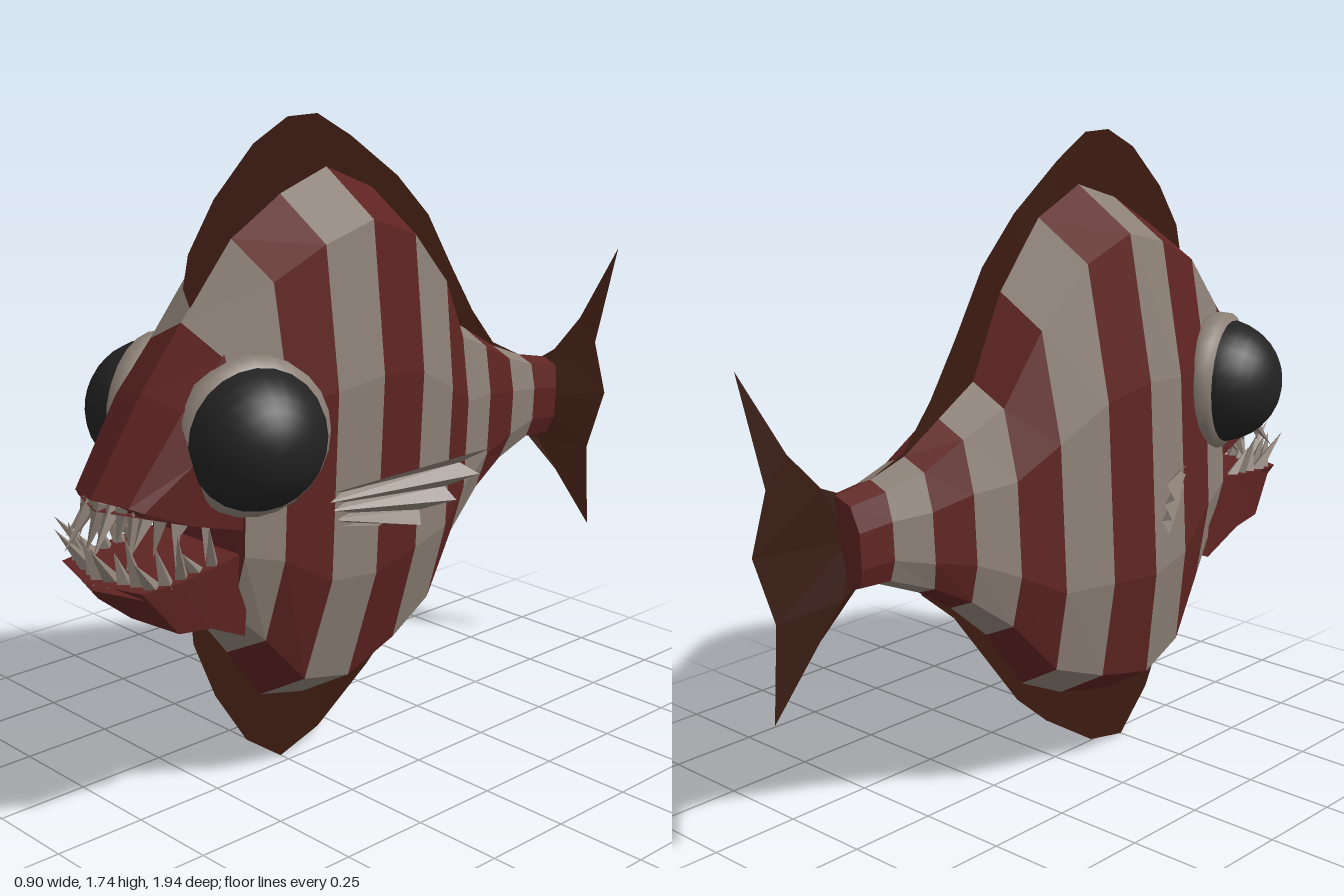
import * as THREE from 'three';

const mat = (color, extra = {}) =>
  new THREE.MeshStandardMaterial({ color, flatShading: true, side: THREE.DoubleSide, ...extra });
const RED = mat(0x5e2422), GREY = mat(0x8c8076), FIN = mat(0x3a1a10);
const EYE = mat(0x222222, { flatShading: false });

// Swimming curve of the spine: [z, x]
const SPINE = [[-1, 0.07], [-0.9, 0.02], [-0.8, -0.025], [-0.6, -0.055], [-0.4, -0.05], [-0.2, -0.025],
  [0, -0.01], [0.2, 0.01], [0.4, 0.035], [0.6, 0.055], [1, 0.07]];

// Offsets a straight point by the spine curve and a slight roll
function bend(x, y, z) {
  let i = 0;
  while (i < SPINE.length - 2 && z > SPINE[i + 1][0]) i++;
  const [z0, x0] = SPINE[i], [z1, x1] = SPINE[i + 1];
  const t = THREE.MathUtils.clamp((z - z0) / (z1 - z0), 0, 1);
  return new THREE.Vector3(x + x0 + (x1 - x0) * t + 0.055 * (y - 0.88), y, z);
}

function triMesh(name, points, material) {
  const geo = new THREE.BufferGeometry().setFromPoints(points);
  geo.computeVertexNormals();
  const mesh = new THREE.Mesh(geo, material);
  mesh.name = name;
  return mesh;
}

// Mirrors a half section (top to bottom, on +x) into a closed bent ring
const ring = (half) => [
  ...half,
  ...half.slice(1, -1).reverse().map(([x, y, z]) => [-x, y, z]),
].map((p) => bend(...p));

// Triangles between successive rings, ordered towards +z
function loft(rings) {
  const out = [];
  for (let i = 0; i < rings.length - 1; i++) {
    const A = rings[i], B = rings[i + 1], n = A.length;
    for (let k = 0; k < n; k++) {
      const l = (k + 1) % n;
      out.push(A[k], B[k], A[l], B[k], B[l], A[l]);
    }
  }
  return out;
}

function cap(r, front) {
  const c = r.reduce((s, p) => s.add(p), new THREE.Vector3()).divideScalar(r.length);
  return r.flatMap((p, k) => {
    const q = r[(k + 1) % r.length];
    return front ? [c, q, p] : [c, p, q];
  });
}

// Striped body; each ring: [zTop, yTop, zMid, zBottom, yBottom, halfWidth]
function buildBody(g) {
  const rows = [
    [-0.8, 0.95, -0.79, -0.78, 0.71, 0.065], [-0.7, 0.97, -0.7, -0.7, 0.71, 0.07],
    [-0.6, 1.01, -0.6, -0.58, 0.66, 0.09], [-0.475, 1.08, -0.475, -0.47, 0.59, 0.11],
    [-0.34, 1.15, -0.34, -0.34, 0.48, 0.14], [-0.21, 1.36, -0.205, -0.2, 0.3, 0.185],
    [-0.04, 1.53, -0.04, -0.03, 0.22, 0.22], [0.14, 1.6, 0.135, 0.17, 0.165, 0.235],
    [0.31, 1.55, 0.3, 0.34, 0.215, 0.225], [0.48, 1.46, 0.46, 0.47, 0.38, 0.205],
    [0.64, 1.28, 0.58, 0.57, 0.5, 0.18],
  ];
  const section = [[0, 0], [0.75, 0.08], [1, 0.35], [1, 0.72], [0.72, 0.93], [0, 1]];
  const rings = rows.map(([zt, yt, zm, zb, yb, w]) => ring(section.map(([u, f]) => {
    const z = f < 0.35 ? zt + (zm - zt) * f / 0.35 : f > 0.72 ? zm + (zb - zm) * (f - 0.72) / 0.28 : zm;
    return [u * w, yt + (yb - yt) * f, z];
  })));
  for (let i = 0; i < rings.length - 1; i++)
    g.add(triMesh('bodyStripe', loft([rings[i], rings[i + 1]]), i % 2 ? GREY : RED));
  g.add(triMesh('tailEnd', cap(rings[0], false), RED));
  g.add(triMesh('throat', cap(rings.at(-1), true), RED));
}

// Upper head and lower jaw
function buildHead(g) {
  const head = [[0.64, 1.28, 0.06, 0.56, 0.78, 0.18, 0], [0.76, 1.13, 0.03, 0.75, 0.83, 0.165, 0.02],
    [0.91, 0.9, 0.005, 0.9, 0.87, 0.135, 0.05]]
    .map(([zt, yt, d, zb, yb, w, bow]) => ring([[0, yt, zt], [w * 0.77, yt - d, zt - d / 3 - bow * 0.6],
      [w, (yt + yb) / 2, (zt + zb) / 2 - bow], [w * 0.97, yb, zb - bow], [0, yb, zb]]));
  g.add(triMesh('upperHead', [...loft(head), ...cap(head.at(-1), true)], RED));
  const jaw = [[0.54, 0.725, 0.54, 0.49, 0.155, 0], [0.68, 0.715, 0.67, 0.555, 0.175, 0],
    [0.8, 0.705, 0.79, 0.57, 0.175, 0.02], [0.93, 0.7, 0.91, 0.675, 0.16, 0.05]]
    .map(([zt, yt, zb, yb, w, bow]) => ring([[0, yt, zt], [w, yt, zt - bow], [w * 0.93, yb, zb - bow], [0, yb, zb]]));
  g.add(triMesh('lowerJaw', [...loft(jaw), ...cap(jaw.at(-1), true)], RED));
}

// Jagged teeth round both lips
function buildTeeth(g) {
  const up = new THREE.Vector3(0, 1, 0);
  const row = (name, count, w, y, zBack, zFront, dirY) => {
    for (let i = 0; i < count; i++) {
      const a = (i / (count - 1) - 0.5) * 2;
      const side = Math.sign(a) * Math.min(1, Math.abs(a) * 1.9) * w;
      const z = Math.abs(a) < 0.53 ? zFront - 0.05 * Math.abs(a) / 0.53
        : zFront - 0.05 - (Math.abs(a) - 0.53) / 0.47 * (zFront - 0.05 - zBack);
      const h = 0.12 + 0.035 * Math.sin(i * 2.4);
      const dir = new THREE.Vector3(0.2 * a + 0.18 * Math.sin(i * 3.7), dirY, 0.45 + 0.3 * Math.cos(i * 2.1)).normalize();
      const tooth = new THREE.Mesh(new THREE.ConeGeometry(0.022, h, 4), GREY);
      tooth.name = name;
      tooth.quaternion.setFromUnitVectors(up, dir);
      tooth.position.copy(bend(side, y + (dirY > 0 ? 0 : 0.03 * (z - 0.88) / 0.25), z)).addScaledVector(dir, h * 0.4);
      g.add(tooth);
    }
  };
  row('upperTooth', 17, 0.125, 0.875, 0.66, 0.88, -1);
  row('lowerTooth', 17, 0.15, 0.705, 0.66, 0.89, 1);
}

// Bulging eyes in cup-shaped rims
function buildEyes(g) {
  const cup = [[0.12, -0.1], [0.18, -0.06], [0.195, -0.02], [0.193, 0.015], [0.172, 0.03]]
    .map(([r, h]) => new THREE.Vector2(r, h));
  for (const s of [1, -1]) {
    const eye = new THREE.Group();
    eye.name = s > 0 ? 'leftEye' : 'rightEye';
    const ball = new THREE.Mesh(new THREE.SphereGeometry(0.176, 24, 16), EYE);
    ball.name = 'eyeball';
    const rim = new THREE.Mesh(new THREE.LatheGeometry(cup, 24),
      mat(0x8c8076, { flatShading: false }));
    rim.name = 'eyeRim';
    eye.add(ball, rim);
    eye.rotation.set(0, -s * 0.33, -s * Math.PI / 2);
    eye.position.copy(bend(s * 0.187, 1.02, 0.565));
    g.add(eye);
  }
}

// Thin fin stretched between matching outer and inner edges of [z, y] points
function ribbon(name, outer, inner) {
  const pts = [], P = ([z, y]) => bend(0, y, z);
  for (let i = 0; i < outer.length - 1; i++) {
    const [a, b, c, d] = [outer[i], outer[i + 1], inner[i], inner[i + 1]].map(P);
    pts.push(a, b, c, b, d, c);
  }
  return triMesh(name, pts, FIN);
}

function buildFins(g) {
  g.add(ribbon('dorsalFin',
    [[0.635, 1.36], [0.62, 1.44], [0.54, 1.56], [0.41, 1.68], [0.29, 1.735], [0.18, 1.735], [0.05, 1.67],
      [-0.14, 1.55], [-0.28, 1.43], [-0.4, 1.27], [-0.5, 1.13], [-0.6, 1.02], [-0.7, 0.97]],
    [[0.6, 1.28], [0.54, 1.36], [0.46, 1.43], [0.36, 1.5], [0.27, 1.54], [0.16, 1.56], [0.03, 1.52],
      [-0.13, 1.4], [-0.22, 1.29], [-0.33, 1.12], [-0.47, 1.04], [-0.58, 0.98], [-0.68, 0.94]]));
  g.add(ribbon('analFin',
    [[0.6, 0.52], [0.59, 0.44], [0.51, 0.27], [0.39, 0.1], [0.25, 0], [0.1, 0.035], [-0.1, 0.16],
      [-0.22, 0.26], [-0.35, 0.42], [-0.46, 0.56], [-0.57, 0.65]],
    [[0.55, 0.56], [0.53, 0.49], [0.44, 0.4], [0.34, 0.27], [0.22, 0.22], [0.1, 0.22], [-0.08, 0.27],
      [-0.19, 0.34], [-0.33, 0.52], [-0.45, 0.63], [-0.56, 0.69]]));
  g.add(ribbon('tailFin',
    [[-0.995, 1.265], [-0.95, 0.98], [-0.99, 0.82], [-0.95, 0.65], [-0.97, 0.4]],
    [[-0.9, 1.06], [-0.83, 0.97], [-0.77, 0.83], [-0.8, 0.69], [-0.875, 0.57]]));
  g.add(ribbon('tailFinRoot',
    [[-0.9, 1.06], [-0.83, 0.97], [-0.77, 0.83], [-0.8, 0.69], [-0.875, 0.57]],
    [[-0.83, 0.97], [-0.76, 0.94], [-0.74, 0.83], [-0.74, 0.73], [-0.8, 0.69]]));

  // Pleated pectoral fans: ridge tips [x, y, z], with valleys pulled in between
  const tips = [[0.45, 0.91, -0.06], [0.43, 0.84, -0.04], [0.39, 0.77, 0], [0.33, 0.705, 0.07], [0.27, 0.715, 0.17]]
    .map((p) => new THREE.Vector3(...p));
  for (const s of [1, -1]) {
    const root = [], edge = [];
    for (let i = 0; i < 9; i++) {
      const base = new THREE.Vector3(i % 2 ? 0.185 : 0.205, 0.82 - 0.0105 * i, 0.355 - 0.004 * i);
      const j = i >> 1;
      const tip = i % 2 ? tips[j].clone().lerp(tips[j + 1], 0.5).lerp(base, 0.12).add(new THREE.Vector3(-0.025, 0, -0.01))
        : tips[j];
      root.push(bend(s * base.x, base.y, base.z));
      edge.push(bend(s * tip.x, tip.y + (s < 0 ? 0.04 : 0) * (0.36 - tip.z), tip.z));
    }
    const pts = [];
    for (let i = 0; i < 8; i++)
      pts.push(root[i], edge[i], root[i + 1], edge[i], edge[i + 1], root[i + 1]);
    g.add(triMesh(s > 0 ? 'leftPectoralFin' : 'rightPectoralFin', pts, GREY));
  }
}

export function createModel() {
  const g = new THREE.Group();
  g.name = 'stripedFish';
  [buildBody, buildHead, buildTeeth, buildEyes, buildFins].forEach((build) => build(g));
  return g;
}
